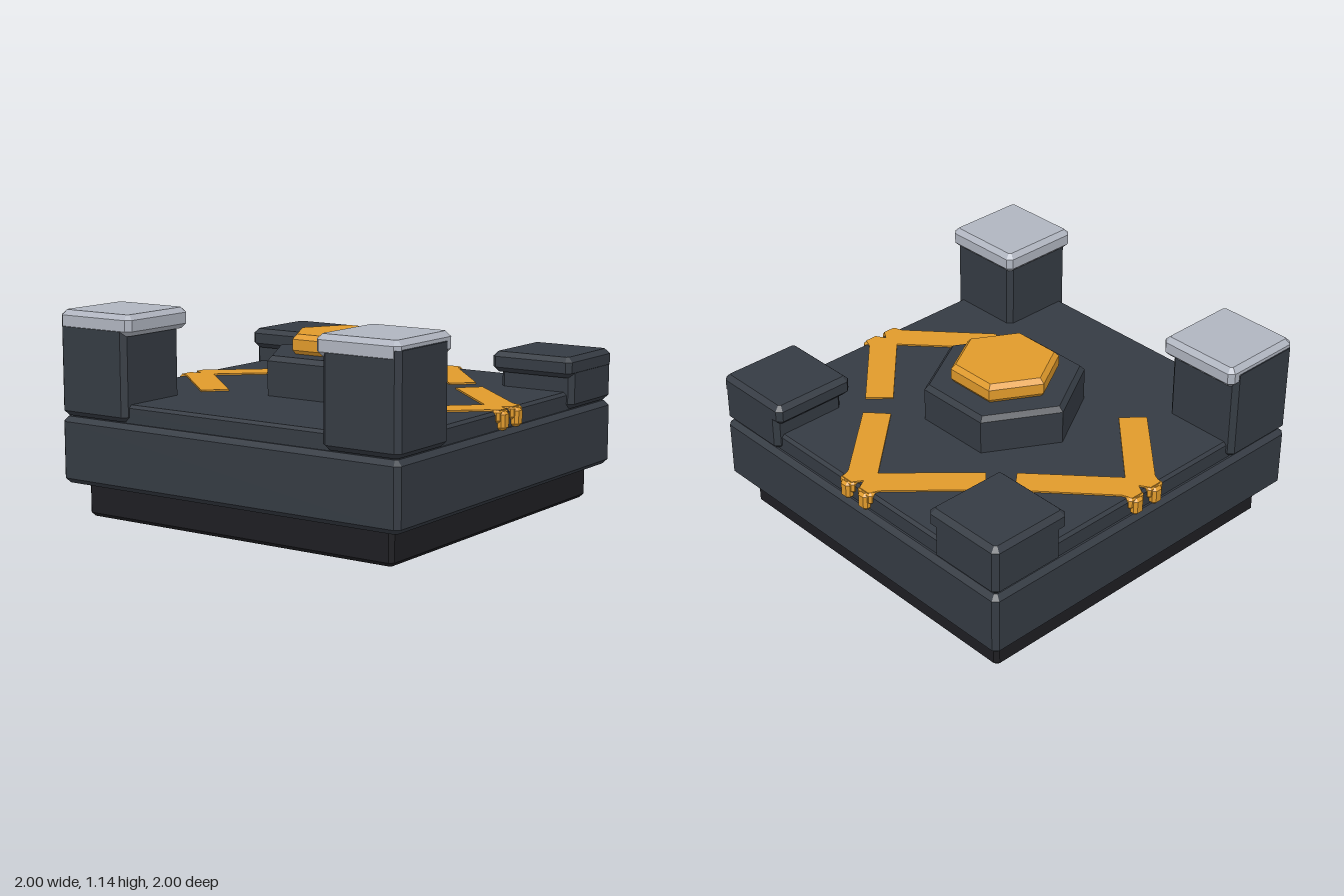
import * as THREE from 'three';

const mat = (color) => new THREE.MeshStandardMaterial({ color, flatShading: true });

export function createModel() {
  const model = new THREE.Group();
  const body = mat(0x353b43), under = mat(0x1e1e22), gold = mat(0xe09a2b), silver = mat(0xb0b5c0);

  const add = (name, geometry, material, parent = model) => {
    const mesh = new THREE.Mesh(geometry, material);
    mesh.name = name;
    parent.add(mesh);
    return mesh;
  };

  // Box between two corners with every edge chamfered by c
  const slab = (name, [x0, x1], [y0, y1], [z0, z1], c, material, parent) => {
    const a = (x1 - x0) / 2 - c, b = (z1 - z0) / 2 - c, k = 0.414 * c;
    const outline = new THREE.Shape([
      [a - k, -b], [a, -b + k], [a, b - k], [a - k, b],
      [-a + k, b], [-a, b - k], [-a, -b + k], [-a + k, -b],
    ].map(([x, y]) => new THREE.Vector2(x, y)));
    const g = new THREE.ExtrudeGeometry(outline, {
      depth: y1 - y0 - 2 * c, bevelSize: c, bevelThickness: c, bevelSegments: 1,
    });
    g.rotateX(-Math.PI / 2).translate((x0 + x1) / 2, y0 + c, (z0 + z1) / 2);
    return add(name, g, material, parent);
  };

  // Hexagonal block from a radius/height profile, points towards +z and -z
  const hex = (name, profile, material) =>
    add(name, new THREE.LatheGeometry(profile.map(([r, y]) => new THREE.Vector2(r, y)), 6), material);

  // Stacked square base
  const square = (name, r, y, c, material) => slab(name, [-r, r], y, [-r, r], c, material);
  square('foot', 0.435, [0, 0.14], 0.02, under);
  square('lowerBase', 0.91, [0.1, 0.32], 0.02, under);
  square('platform', 1, [0.275, 0.61], 0.025, body);
  square('deck', 0.965, [0.56, 0.7], 0.015, body);

  // Corner posts: tall with pale caps on -x, short with dark caps on +x
  for (const s of [1, -1]) {
    const zs = (inner, outer) => (s > 0 ? [inner, outer] : [-outer, -inner]);
    const tall = new THREE.Group();
    tall.name = 'tallPost';
    slab('tallPostBody', [-0.998, -0.58], [0.615, 1.12], zs(0.58, 1), 0.025, body, tall);
    slab('tallPostCap', [-1, -0.545], [1.035, 1.14], zs(0.545, 0.997), 0.025, silver, tall);
    const short = new THREE.Group();
    short.name = 'shortPost';
    slab('shortPostBody', [0.58, 0.998], [0.615, 0.86], zs(0.58, 0.998), 0.025, body, short);
    slab('shortPostCap', [0.545, 1], [0.775, 0.88], zs(0.545, 1), 0.025, body, short);
    model.add(tall, short);
  }

  // Central hub and its raised button
  hex('hub', [[0, 0.66], [0.41, 0.66], [0.41, 0.875], [0.385, 0.9], [0, 0.9]], body);
  hex('button', [[0, 0.89], [0.25, 0.89], [0.275, 0.92], [0.275, 0.975], [0.25, 1], [0, 1]], gold);

  // Chevrons: two flat strips meeting at the edge and folding over it
  const half = [[0.35, 0.455], [0.455, 0.55], [0.115, 0.925], [0.095, 0.975], [0.03, 0.975], [0, 0.925], [0, 0.835]];
  const chevron = (angle) => {
    const group = new THREE.Group();
    group.name = 'chevron';
    for (const s of [1, -1]) {
      const outline = new THREE.Shape(half.map(([x, z]) => new THREE.Vector2(s * x, -z)));
      const strip = new THREE.ExtrudeGeometry(outline, { depth: 0.012, bevelEnabled: false });
      strip.rotateX(-Math.PI / 2).translate(0, 0.696, 0);
      add('chevronStrip', strip, gold, group);
      const span = (a, b) => (s > 0 ? [a, b] : [-b, -a]);
      slab('chevronFold', span(0.015, 0.115), [0.645, 0.708], [0.93, 0.982], 0.012, gold, group);
      slab('chevronTip', span(0.033, 0.095), [0.608, 0.7], [0.94, 0.998], 0.014, gold, group);
    }
    group.rotation.y = angle;
    model.add(group);
  };
  [0, Math.PI / 2, Math.PI].forEach(chevron);

  return model;
}
